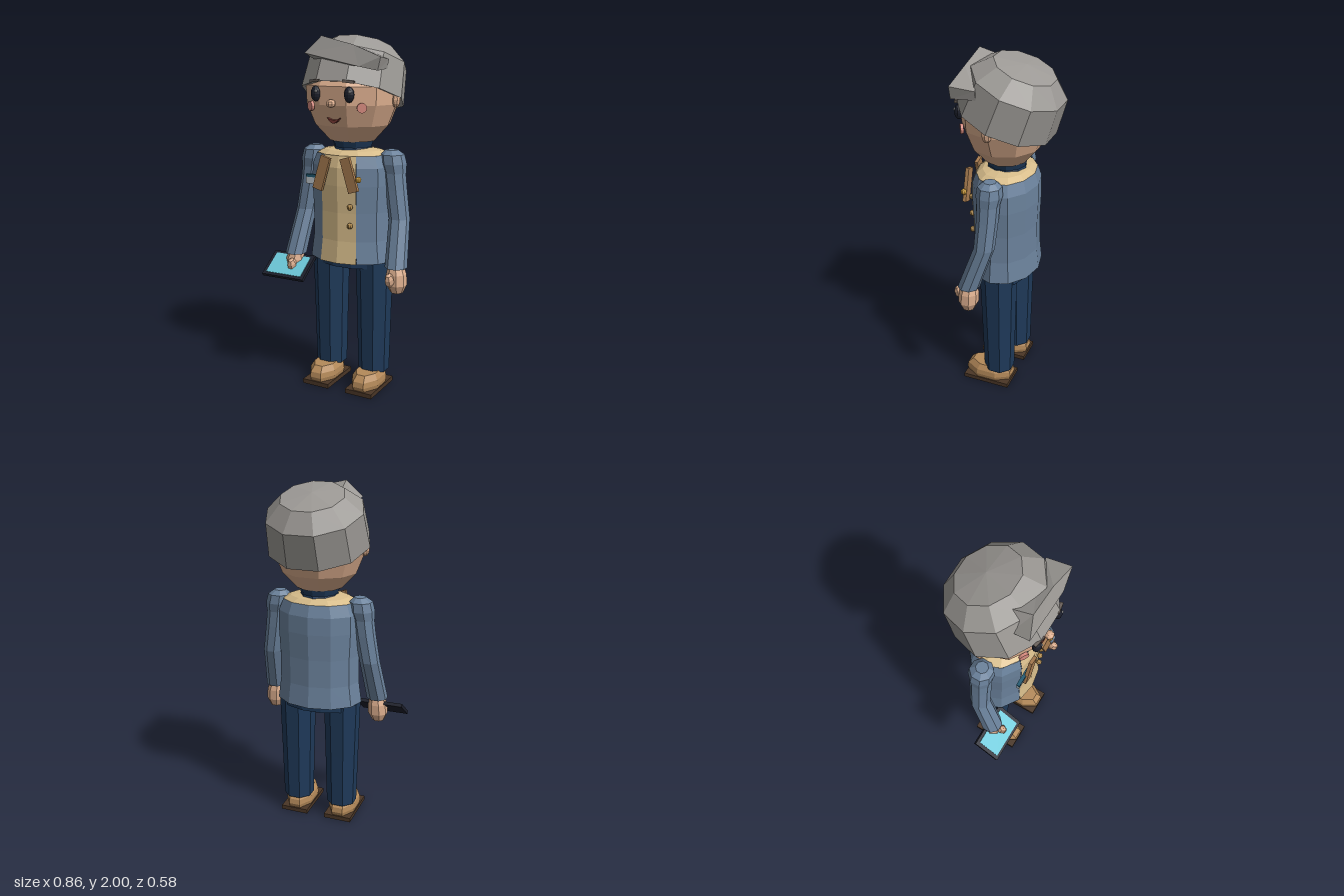
import * as THREE from 'three';

const SKIN = 0xdcae8e, HAIR = 0x9c9995, JACKET = 0x6b829c, NAVY = 0x1f3a5a, BEIGE = 0xd8bd8b;
const BROWN = 0xa87c50, TAN = 0xb58a5a, SOLE = 0x4a3626, DARK = 0x1c1f2b, GOLD = 0xc99a3c;

const V = (x, y, z) => new THREE.Vector3(x, y, z);

function add(parent, name, geometry, color, pos = [0, 0, 0], rot = [0, 0, 0], scale = [1, 1, 1]) {
  const material = new THREE.MeshStandardMaterial({ color, flatShading: true, side: THREE.DoubleSide });
  const mesh = new THREE.Mesh(geometry, material);
  mesh.name = name;
  mesh.position.set(...pos);
  mesh.rotation.set(...rot);
  mesh.scale.set(...scale);
  parent.add(mesh);
  return mesh;
}

function lathe(profile, segments, start = 0, length = Math.PI * 2) {
  return new THREE.LatheGeometry(profile.map(([r, y]) => new THREE.Vector2(r, y)), segments, start, length);
}

// Closed tapered limb; rows run from top to bottom as [x, y, z, radius]
function limb(rows, sides = 8) {
  const g = new THREE.CylinderGeometry(1, 1, 1, sides, rows.length - 1, false, Math.PI / sides);
  const p = g.attributes.position;
  for (let i = 0; i < p.count; i++) {
    const [x, y, z, r] = rows[Math.round((0.5 - p.getY(i)) * (rows.length - 1))];
    p.setXYZ(i, x + p.getX(i) * r, y, z + p.getZ(i) * r);
  }
  return g;
}

// Swept lock of hair: a box moved onto three four-cornered sections
function quiff() {
  const sections = [ // front bottom, front top, back top, back bottom
    [V(-0.173, 1.91, 0.235), V(-0.088, 2.0, 0.2), V(-0.1, 1.97, 0.1), V(-0.165, 1.87, 0.13)],
    [V(0.15, 1.845, 0.235), V(0.1, 1.955, 0.2), V(0.08, 1.93, 0.13), V(0.13, 1.84, 0.1)],
    [V(0.25, 1.825, 0.215), V(0.267, 1.895, 0.215), V(0.25, 1.88, 0.08), V(0.24, 1.83, 0.08)],
  ];
  const g = new THREE.BoxGeometry(1, 1, 1, 2, 1, 1);
  const p = g.attributes.position;
  for (let i = 0; i < p.count; i++) {
    const top = p.getY(i) > 0, front = p.getZ(i) > 0;
    const c = sections[Math.round((p.getX(i) + 0.5) * 2)][front ? (top ? 1 : 0) : (top ? 2 : 3)];
    p.setXYZ(i, c.x, c.y, c.z);
  }
  return g;
}

function buildHead(parent) {
  const head = new THREE.Group();
  head.name = 'head';
  parent.add(head);
  const start = Math.PI / 10;
  add(head, 'face', lathe([[0, 1.435], [0.13, 1.435], [0.215, 1.525], [0.262, 1.64], [0.266, 1.74],
    [0.19, 1.85], [0, 1.9]], 10, start), SKIN, [0, 0, 0.01], [0, 0, 0], [1, 1, 0.92]);
  // Hair cap, tipped backwards
  add(head, 'hair', lathe([[0.25, 0.01], [0.292, 0], [0.275, 0.2], [0.18, 0.29], [0, 0.312]], 10, start),
    HAIR, [0, 1.675, 0.01], [-0.36, 0, 0], [1, 1, 0.96]);
  add(head, 'quiff', quiff(), HAIR);

  const ball = new THREE.SphereGeometry(1, 8, 6);
  for (const s of [-1, 1]) {
    add(head, 'ear', ball, SKIN, [s * 0.262, 1.665, 0.015], [0, 0, 0], [0.025, 0.042, 0.028]);
    add(head, 'eye', new THREE.SphereGeometry(1, 12, 8), DARK, [s * 0.101, 1.7, 0.243], [0, s * 0.2, 0], [0.028, 0.042, 0.024]);
    add(head, 'eyeGlint', ball, 0xffffff, [s * 0.101 + 0.012, 1.715, 0.262], [0, 0, 0], [0.007, 0.008, 0.006]);
    add(head, 'eyebrow', new THREE.BoxGeometry(0.065, 0.014, 0.016), 0x6c625c, [s * 0.1, 1.768, 0.25], [0, s * 0.2, -s * 0.1]);
    const cheek = new THREE.CylinderGeometry(0.027, 0.027, 0.016, 12).rotateX(Math.PI / 2);
    add(head, 'cheek', cheek, 0xd98c80, [s * 0.155, 1.63, 0.203], [0, s * 0.55, 0]);
  }
  add(head, 'nose', ball, SKIN, [0, 1.652, 0.258], [0, 0, 0], [0.026, 0.022, 0.026]);
  const smile = new THREE.Shape();
  smile.moveTo(-0.038, 0.01);
  smile.quadraticCurveTo(0, -0.05, 0.038, 0.01);
  smile.quadraticCurveTo(0, -0.012, -0.038, 0.01);
  add(head, 'mouth', new THREE.ExtrudeGeometry(smile, { depth: 0.02, bevelEnabled: false, curveSegments: 6 }),
    0x7a3a34, [0, 1.565, 0.215]);
}

function buildTorso(parent) {
  const torso = new THREE.Group();
  torso.name = 'torso';
  parent.add(torso);
  const flat = [1, 1, 0.75], half = 0.46;
  const body = [[0.255, 0.765], [0.238, 0.89], [0.237, 1.05], [0.245, 1.2], [0.243, 1.3], [0.215, 1.365]];
  add(torso, 'jacket', lathe(body, 10, half, Math.PI * 2 - 2 * half), JACKET, [0, 0, 0.01], [0, 0, 0], flat);
  add(torso, 'shirtFront', lathe(body, 2, -half, 2 * half), BEIGE, [0, 0, 0.012], [0, 0, 0], flat);
  add(torso, 'yoke', lathe([[0.215, 1.362], [0.17, 1.385], [0.08, 1.4]], 12), BEIGE, [0, 0, 0.01], [0, 0, 0], flat);
  add(torso, 'jacketLining', lathe([[0, 0.775], [0.25, 0.775]], 12), JACKET, [0, 0, 0.01], [0, 0, 0], flat);
  add(torso, 'neck', lathe([[0.125, 1.35], [0.105, 1.4], [0.12, 1.45], [0, 1.46]], 10), NAVY, [0, 0, 0.01]);

  // Lapels, buttons, pin and badge
  for (const s of [-1, 1]) {
    add(torso, 'lapel', new THREE.BoxGeometry(0.058, 0.19, 0.02), BROWN, [s * 0.085, 1.27, 0.212], [0, 0, s * 0.29]);
  }
  const stud = new THREE.SphereGeometry(0.017, 8, 6);
  for (const y of [1.195, 1.09, 0.985]) add(torso, 'button', stud, 0xb08a4c, [0.078, y, 0.192]);
  add(torso, 'pin', stud, GOLD, [0.14, 1.25, 0.212]);
  add(torso, 'badge', new THREE.BoxGeometry(0.11, 0.05, 0.016), 0xc4ccd0, [-0.133, 1.228, 0.2]);
  add(torso, 'badgeStripe', new THREE.BoxGeometry(0.112, 0.016, 0.02), 0x1f5a72, [-0.133, 1.248, 0.2]);
}

function buildArm(parent, s) {
  const arm = new THREE.Group();
  arm.name = s > 0 ? 'leftArm' : 'rightArm';
  parent.add(arm);
  add(arm, 'sleeve', limb([
    [s * 0.25, 1.34, 0.01, 0.063], [s * 0.272, 1.18, 0.015, 0.06],
    [s * 0.298, 1.02, 0.025, 0.058], [s * 0.322, 0.765, 0.113, 0.062]]), JACKET);
  add(arm, 'shoulder', limb([
    [s * 0.24, 1.395, 0.01, 0.035], [s * 0.245, 1.37, 0.01, 0.066],
    [s * 0.252, 1.32, 0.01, 0.072], [s * 0.262, 1.27, 0.012, 0.062]]), JACKET);
  add(arm, 'hand', limb([
    [s * 0.32, 0.775, 0.11, 0.042], [s * 0.325, 0.73, 0.112, 0.056],
    [s * 0.328, 0.67, 0.115, 0.058], [s * 0.33, 0.625, 0.115, 0.035]]), SKIN, [0, 0, 0]);
  add(arm, 'thumb', new THREE.SphereGeometry(1, 6, 5), SKIN, [s * 0.312, 0.705, 0.172], [0.4, 0, 0], [0.027, 0.042, 0.034]);
}

function buildLeg(parent, s) {
  const leg = new THREE.Group();
  leg.name = s > 0 ? 'leftLeg' : 'rightLeg';
  leg.position.x = s * 0.14;
  parent.add(leg);
  add(leg, 'trouser', limb([
    [0, 0.76, 0.01, 0.107], [0, 0.43, 0.01, 0.098], [0, 0.1, 0.01, 0.09]]), NAVY);
  add(leg, 'shoe', lathe([[1, 0.02], [1.08, 0.05], [1.04, 0.08], [0.8, 0.112], [0, 0.112]], 8, Math.PI / 8),
    TAN, [0, 0, 0.068], [0, 0, 0], [0.083, 1, 0.143]);
  add(leg, 'sole', new THREE.BoxGeometry(0.168, 0.026, 0.285), SOLE, [0, 0.013, 0.068]);
}

function buildTablet(parent) {
  const tablet = new THREE.Group();
  tablet.name = 'tablet';
  tablet.position.set(-0.34, 0.692, 0.163);
  tablet.rotation.x = 0.62;
  parent.add(tablet);
  add(tablet, 'tabletCase', new THREE.BoxGeometry(0.275, 0.02, 0.18), DARK);
  add(tablet, 'tabletScreen', new THREE.BoxGeometry(0.232, 0.006, 0.145), 0x6cc8d8, [0, 0.01, 0]);
}

export function createModel() {
  const model = new THREE.Group();
  const figure = new THREE.Group();
  figure.name = 'figure';
  figure.position.x = 0.043; // the held tablet shifts the body sideways
  model.add(figure);
  buildHead(figure);
  buildTorso(figure);
  add(figure, 'hips', limb([[0, 0.85, 0, 1], [0, 0.725, 0, 1]], 12), NAVY, [0, 0, 0.003], [0, 0, 0], [0.225, 1, 0.14]);
  for (const s of [-1, 1]) {
    buildArm(figure, s);
    buildLeg(figure, s);
  }
  buildTablet(figure);
  return model;
}
